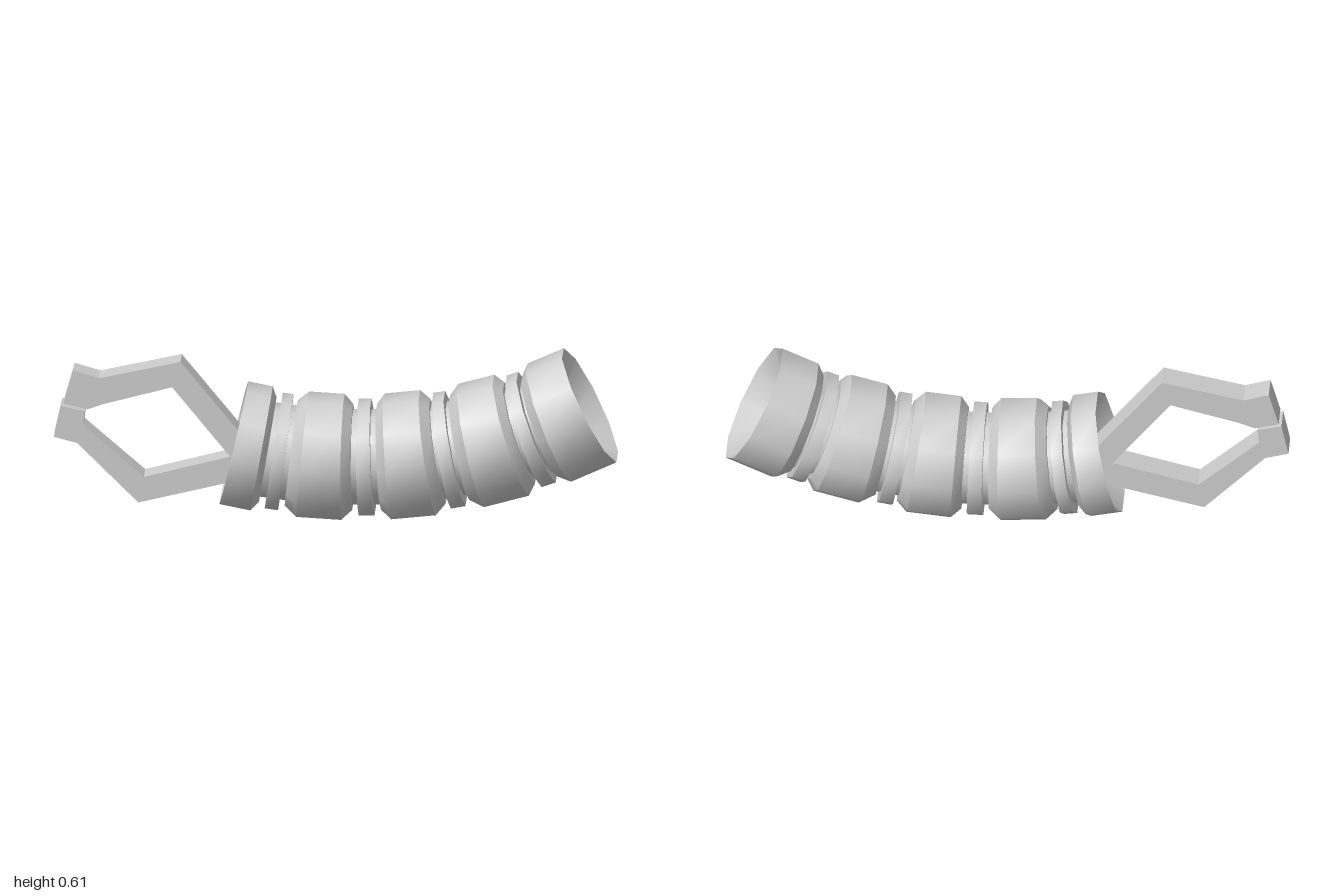
import * as THREE from 'three';
import { toCreasedNormals } from 'three/addons/utils/BufferGeometryUtils.js';

const SIDES = 10;
const BEND = { x: 0.055, y: 0.215, radius: 1.868 };

// Point on a ten-sided ring standing across the bent spine
function ringPoint(x, r, i) {
  const tilt = Math.asin((x - BEND.x) / BEND.radius);
  const y = BEND.y + BEND.radius * (1 - Math.cos(tilt));
  const a = (i / SIDES) * Math.PI * 2;
  const up = r * Math.sin(a);
  return [x - Math.sin(tilt) * up, y + Math.cos(tilt) * up, r * Math.cos(a)];
}

// Closed profile of [x along spine, radius], swept around the spine
function sweepProfile(profile) {
  const pos = [];
  profile.forEach((p, j) => {
    const q = profile[(j + 1) % profile.length];
    for (let i = 0; i < SIDES; i++) {
      const a = ringPoint(...p, i), b = ringPoint(...q, i);
      const c = ringPoint(...q, i + 1), d = ringPoint(...p, i + 1);
      pos.push(...a, ...b, ...c, ...a, ...c, ...d);
    }
  });
  const geo = new THREE.BufferGeometry();
  geo.setAttribute('position', new THREE.Float32BufferAttribute(pos, 3));
  geo.computeVertexNormals();
  return toCreasedNormals(geo, 0.66);
}

export function createModel() {
  const model = new THREE.Group();
  model.name = 'bentClawArm';
  const grey = new THREE.MeshStandardMaterial({ color: 0xcccccc });
  const add = (name, geo) => {
    const mesh = new THREE.Mesh(geo, grey);
    mesh.name = name;
    model.add(mesh);
  };

  const OUTER = 0.224, CHAMFER = 0.188, RING = 0.208, BORE = 0.13, MOUTH = 0.095;

  // Chamfered middle segments: chamfer start, body start, body end, chamfer end
  [
    [-0.16, -0.12, 0.024, 0.059],
    [0.152, 0.184, 0.326, 0.362],
    [0.438, 0.479, 0.623, 0.652],
  ].forEach(([a, b, c, d], i) => add(`armSegment${i + 1}`, sweepProfile([
    [a, BORE], [a, CHAMFER], [b, OUTER], [c, OUTER], [d, CHAMFER], [d, BORE],
  ])));

  // End segments with funnel mouths
  add('wristSegment', sweepProfile([
    [-0.264, MOUTH], [-0.364, OUTER], [-0.265, OUTER], [-0.243, CHAMFER], [-0.243, MOUTH],
  ]));
  add('shoulderSegment', sweepProfile([
    [0.722, MOUTH], [0.722, CHAMFER], [0.757, OUTER], [0.902, OUTER], [0.8, MOUTH],
  ]));

  // Thin joint rings between the segments
  [[-0.222, -0.179], [0.08, 0.131], [0.376, 0.423], [0.668, 0.713]].forEach(([a, b], i) =>
    add(`jointRing${i + 1}`, sweepProfile([[a, BORE], [a, RING], [b, RING], [b, BORE]])));

  // Hollow core holding everything together
  const steps = Array.from({ length: 9 }, (_, i) => -0.25 + (i / 8) * 0.98);
  add('core', sweepProfile([
    ...steps.map((x) => [x, 0.17]),
    ...steps.slice().reverse().map((x) => [x, BORE - 0.002]),
  ]));

  // Two bent claw fingers cut from flat plate
  const finger = (name, points) => {
    const shape = new THREE.Shape(points.map(([x, y]) => new THREE.Vector2(x, y)));
    const geo = new THREE.ExtrudeGeometry(shape, { depth: 0.1, bevelEnabled: false });
    geo.translate(0, 0, -0.027);
    add(name, geo);
  };
  finger('upperFinger', [
    [-0.93, 0.543], [-0.965, 0.42], [-0.88, 0.4], [-0.825, 0.42], [-0.58, 0.486],
    [-0.36, 0.215], [-0.305, 0.28], [-0.55, 0.58], [-0.84, 0.516],
  ]);
  finger('lowerFinger', [
    [-1, 0.297], [-0.917, 0.275], [-0.7, 0.058], [-0.35, 0.143], [-0.325, 0.245],
    [-0.68, 0.153], [-0.895, 0.34], [-0.89, 0.393], [-0.975, 0.412],
  ]);

  return model;
}
